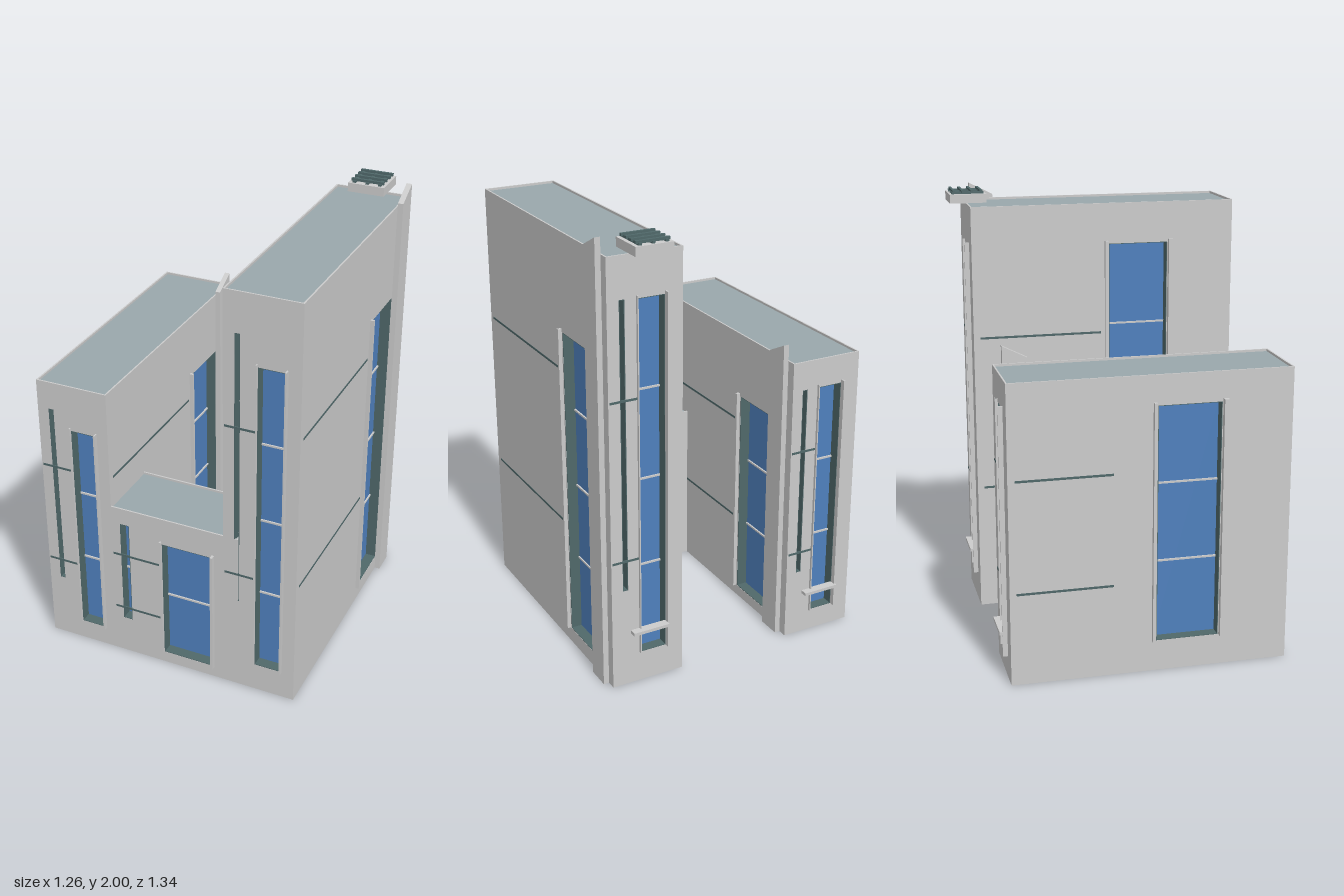
import * as THREE from 'three';

const mat = (color) => new THREE.MeshStandardMaterial({ color, roughness: 0.9 });
const WALL = mat(0xcccccc), GLASS = mat(0x4f80bd), DARK = mat(0x50686a), ROOF = mat(0x9aa8ac);
const DEPTH = 0.05; // depth of the window recesses

// Box given by its two corners
function box(parent, name, material, x0, x1, y0, y1, z0, z1) {
  const m = new THREE.Mesh(new THREE.BoxGeometry(x1 - x0, y1 - y0, z1 - z0), material);
  m.position.set((x0 + x1) / 2, (y0 + y1) / 2, (z0 + z1) / 2);
  m.name = name;
  parent.add(m);
  return m;
}

function rectPath(target, x0, x1, y0, y1) {
  target.moveTo(x0, y0).lineTo(x1, y0).lineTo(x1, y1).lineTo(x0, y1).closePath();
  return target;
}

// Recessed glazing with dark reveals and evenly spaced bars
function opening(face, name, [u0, u1, y0, y1, panes]) {
  const g = new THREE.Group(), t = 0.003;
  g.name = name;
  face.add(g);
  box(g, 'glass', GLASS, u0, u1, y0, y1, -DEPTH - 0.006, -DEPTH + 0.001);
  for (const u of [u0, u1 - t]) box(g, 'sideReveal', DARK, u, u + t, y0, y1, -DEPTH, -0.001);
  for (const y of [y0, y1 - t]) box(g, 'endReveal', DARK, u0, u1, y, y + t, -DEPTH, -0.001);
  for (let i = 1; i < panes; i++) {
    const y = y0 + (y1 - y0) * i / panes;
    box(g, 'glazingBar', WALL, u0, u1, y - 0.004, y + 0.004, -DEPTH, -DEPTH + 0.008);
  }
}

// One facade in its own frame: u to the right, y up, +z outward
function facade(block, name, angle, dist, [u0, u1], H, o) {
  const face = new THREE.Group();
  face.name = name;
  face.rotation.y = angle;
  face.position.set(Math.sin(angle) * dist, 0, Math.cos(angle) * dist);
  block.add(face);

  const shape = rectPath(new THREE.Shape(), u0, u1, 0, H - 0.025);
  const holes = [o.window, o.slot].filter(Boolean);
  for (const h of holes) shape.holes.push(rectPath(new THREE.Path(), h[0], h[1], h[2], h[3]));
  const wall = new THREE.Mesh(new THREE.ExtrudeGeometry(shape, { depth: DEPTH, bevelEnabled: false }), WALL);
  wall.position.z = -DEPTH;
  wall.name = 'wall';
  face.add(wall);

  opening(face, 'window', o.window);
  if (o.slot) opening(face, 'slotWindow', o.slot);
  // Upright trims beside the window: [u0, u1, projection]
  const [, , y0, y1] = o.window;
  for (const [a, b, p] of o.trims) box(face, 'windowTrim', WALL, a, b, y0, y1 + 0.014, -0.005, p);
  // Horizontal joint lines
  for (const y of o.jointHeights) {
    box(face, 'wallJoint', DARK, o.joints[0], o.joints[1], y - 0.005, y + 0.005, -0.004, 0.0015);
  }
  // Shallow ledge
  if (o.ledge) {
    const [a, b, y] = o.ledge;
    box(face, 'ledge', WALL, a, b, y, y + 0.014, -0.005, 0.034);
  }
  // Tall fin with a sloping top
  if (o.fin) {
    const s = new THREE.Shape();
    s.moveTo(0.437, 0).lineTo(0.547, 0).lineTo(0.547, o.fin).lineTo(0.437, o.fin - 0.055).closePath();
    const fin = new THREE.Mesh(new THREE.ExtrudeGeometry(s, { depth: 0.025, bevelEnabled: false }), WALL);
    fin.name = 'fin';
    face.add(fin);
  }
}

// Floor, sunken roof and thin parapet rim of a block
function slabs(block, x0, x1, z0, z1, H) {
  const e = 0.007;
  box(block, 'floor', WALL, x0 + 0.001, x1 - 0.001, 0, 0.02, z0 + 0.001, z1 - 0.001);
  box(block, 'roof', ROOF, x0 + e, x1 - e, H - 0.026, H - 0.01, z0 + e, z1 - e);
  const ring = rectPath(new THREE.Shape(), x0, x1, -z1, -z0);
  ring.holes.push(rectPath(new THREE.Path(), x0 + e, x1 - e, -z1 + e, -z0 - e));
  const rim = new THREE.Mesh(new THREE.ExtrudeGeometry(ring, { depth: 0.025, bevelEnabled: false }), WALL);
  rim.rotation.x = -Math.PI / 2;
  rim.position.y = H - 0.025;
  rim.name = 'parapet';
  block.add(rim);
}

// Pair of front or back trims, the right one projecting further
const trimPair = (a, b) => [[a - 0.004, a + 0.001, 0.012], [b - 0.001, b + 0.006, 0.022]];

// Long wing with four facades
function wing(root, name, x0, x1, H, p) {
  const g = new THREE.Group();
  g.name = name;
  root.add(g);
  const Z0 = -0.59, Z1 = 0.645;
  slabs(g, x0, x1, Z0, Z1, H);
  const jointHeights = p.joints;
  facade(g, 'frontFacade', 0, Z1, [x0, x1], H, {
    window: p.front, slot: p.slot, trims: trimPair(p.front[0], p.front[1]),
    joints: [x0 + 0.006, p.front[0] - 0.003], jointHeights,
  });
  facade(g, 'leftFacade', Math.PI / 2, x1, [-Z1, -Z0], H, {
    window: [0.165, 0.435, p.left[0], p.left[1], p.panes], trims: [[0.147, 0.16, 0.017]],
    joints: [-0.615, 0.135], jointHeights, fin: p.fin,
  });
  facade(g, 'backFacade', Math.PI, -Z0, [-x1, -x0], H, {
    window: p.back, slot: p.backSlot, trims: trimPair(p.back[0], p.back[1]),
    joints: [-x1 + 0.006, p.back[0] - 0.003], jointHeights, ledge: p.ledge,
  });
  facade(g, 'rightFacade', -Math.PI / 2, -x0, [Z0, Z1], H, {
    window: [0.05, 0.33, p.right[0], p.right[1], p.panes],
    trims: [[0.03, 0.045, 0.018], [0.333, 0.355, 0.023]],
    joints: [-0.56, p.rightJointEnd], jointHeights,
  });
  return g;
}

export function createModel() {
  const root = new THREE.Group();
  root.name = 'building';

  const tall = wing(root, 'tallWing', 0.265, 0.603, 1.93, {
    panes: 4, joints: [0.6, 1.325], fin: 2.0, rightJointEnd: 0.01,
    front: [0.415, 0.54, 0.135, 1.62, 4], slot: [0.315, 0.34, 0.46, 1.75, 4],
    left: [0.07, 1.495], right: [0.2, 1.742],
    back: [-0.47, -0.345, 0.14, 1.745, 4], backSlot: [-0.55, -0.525, 0.46, 1.75, 4],
    ledge: [-0.515, -0.345, 0.248],
  });

  wing(root, 'lowWing', -0.612, -0.275, 1.335, {
    panes: 3, joints: [0.415, 0.915], fin: 1.41, rightJointEnd: -0.14,
    front: [-0.455, -0.333, 0.095, 1.12, 3], slot: [-0.56, -0.535, 0.315, 1.205, 3],
    left: [0.05, 1.035], right: [0.14, 1.202],
    back: [0.405, 0.525, 0.1, 1.205, 3], backSlot: [0.325, 0.35, 0.315, 1.205, 3],
    ledge: [0.36, 0.53, 0.2],
  });

  // Middle link, running a little way into both wings
  const link = new THREE.Group();
  link.name = 'middleLink';
  root.add(link);
  slabs(link, -0.335, 0.333, 0.33, 0.645, 0.78);
  facade(link, 'frontFacade', 0, 0.645, [-0.335, 0.333], 0.78, {
    window: [-0.03, 0.21, 0.055, 0.65, 2], slot: [-0.235, -0.19, 0.185, 0.7, 2],
    trims: [[-0.039, -0.03, 0.012], [0.21, 0.222, 0.022]],
    joints: [-0.272, -0.04], jointHeights: [0.245, 0.535],
  });
  const back = new THREE.Group();
  back.name = 'courtSide';
  link.add(back);
  facade(back, 'backFacade', Math.PI, -0.33, [-0.333, 0.335], 0.78, {
    window: [-0.07, 0.175, 0.06, 0.69, 2], slot: [-0.225, -0.185, 0.185, 0.7, 2],
    trims: [[-0.079, -0.07, 0.015], [0.175, 0.185, 0.022]],
    joints: [-0.262, -0.08], jointHeights: [0.245, 0.535], ledge: [-0.08, 0.09, 0.11],
  });

  // Rooftop unit overhanging the back of the tall wing
  const unit = new THREE.Group();
  unit.name = 'rooftopUnit';
  tall.add(unit);
  box(unit, 'housing', WALL, 0.347, 0.515, 1.938, 1.978, -0.67, -0.503);
  for (const z of [-0.65, -0.61, -0.568, -0.526]) {
    box(unit, 'grilleSlat', DARK, 0.357, 0.507, 1.984, 1.996, z - 0.006, z + 0.006);
  }
  for (const x of [0.372, 0.431, 0.49]) {
    box(unit, 'grilleBar', DARK, x - 0.007, x + 0.007, 1.976, 1.988, -0.66, -0.513);
  }
  return root;
}
